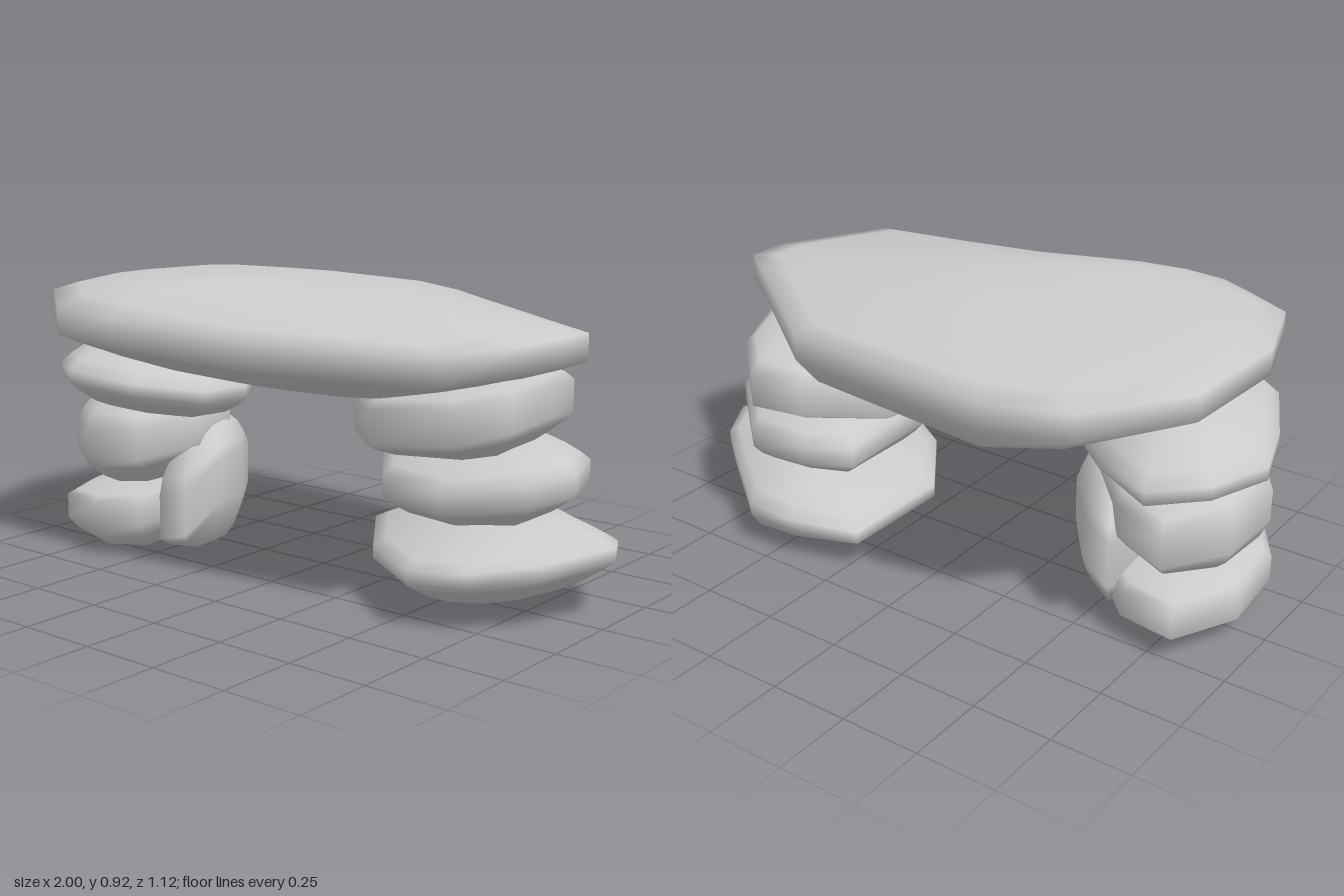
import * as THREE from 'three';

const material = new THREE.MeshStandardMaterial({ color: 0xcccccc });
const RINGS = [0.3, 0.55, 0.75, 0.9, 1];

// A stone: plan outline of [x, z, rimHeight, topPower, bottomPower], domed towards tilted
// top and bottom planes [y, slopeX, slopeZ]. rim is half the height of the blunt edge;
// a higher power makes the face flatter and its edge steeper.
function stone(name, { plan, top, bottom, rim, power }) {
  const n = plan.length;
  const [cx, cz] = [0, 1].map(k => plan.reduce((sum, p) => sum + p[k], 0) / n);
  const pos = [cx, bottom[0], cz];
  const addRing = (s, plane, side) => {
    for (const [px, pz, edge, topPower = power, bottomPower = power] of plan) {
      const dx = (px - cx) * s, dz = (pz - cz) * s;
      const face = plane[0] + plane[1] * dx + plane[2] * dz;
      const rise = 1 - s ** (side > 0 ? topPower : bottomPower);
      pos.push(cx + dx, THREE.MathUtils.lerp(edge + side * rim, face, rise), cz + dz);
    }
  };
  RINGS.forEach(s => addRing(s, bottom, -1));
  [...RINGS].reverse().forEach(s => addRing(s, top, 1));
  pos.push(cx, top[0], cz);

  const rows = RINGS.length * 2, last = rows * n + 1, index = [];
  for (let i = 0; i < n; i++) {
    const j = (i + 1) % n;
    index.push(0, 1 + i, 1 + j);
    for (let r = 0; r < rows - 1; r++) {
      const a = 1 + r * n + i, b = 1 + r * n + j;
      index.push(a, a + n, b, b, a + n, b + n);
    }
    index.push(last, last - n + j, last - n + i);
  }
  const geometry = new THREE.BufferGeometry();
  geometry.setAttribute('position', new THREE.Float32BufferAttribute(pos, 3));
  geometry.setIndex(index);
  geometry.computeVertexNormals();
  const mesh = new THREE.Mesh(geometry, material);
  mesh.name = name;
  return mesh;
}

const STONES = {
  // Wide slab across both piers
  capstone: {
    plan: [[-0.37, -0.56, 0.76, 2.6, 6], [0.33, -0.49, 0.76, 2.4, 6], [0.78, -0.15, 0.77, 1.7, 2.6],
      [0.88, -0.08, 0.77, 1.6, 2.1], [0.88, 0.05, 0.77, 1.5, 2.1], [0.83, 0.2, 0.76, 1.5, 2.1],
      [0.74, 0.43, 0.75, 1.5, 2], [0.1, 0.53, 0.75, 2, 2], [-0.37, 0.56, 0.77, 3.8, 2],
      [-0.6, 0.55, 0.78, 5, 2], [-0.8, 0.39, 0.81, 4.5, 2], [-0.9, 0.1, 0.82, 3.6, 2.2],
      [-0.88, -0.28, 0.82, 2.8, 2.6], [-0.64, -0.5, 0.78, 2.5, 3.6]],
    top: [0.92, 0, 0], bottom: [0.57, 0, 0.04], rim: 0.04, power: 2.5,
  },
  // Left pier, three flat stones
  leftBaseStone: {
    plan: [[0.16, -0.06, 0.15, 2.2, 2.2], [0.2, -0.4, 0.12, 2.5, 3], [0.42, -0.46, 0.12, 3, 5],
      [0.58, -0.47, 0.13, 3, 6], [0.83, -0.28, 0.16, 2.5, 3], [0.93, -0.2, 0.18, 2.2, 2],
      [1, -0.06, 0.2, 2, 1.7], [0.9, 0.16, 0.18, 2, 1.8], [0.75, 0.3, 0.16, 1.5, 2],
      [0.58, 0.35, 0.15, 1.5, 2.2], [0.35, 0.2, 0.15, 1.7, 2.2]],
    top: [0.285, 0.02, 0.05], bottom: [0, 0, 0], rim: 0.02, power: 2.5,
  },
  leftMiddleStone: {
    plan: [[0.22, -0.02, 0.4], [0.24, -0.36, 0.37], [0.4, -0.42, 0.36], [0.6, -0.42, 0.36, 3, 4],
      [0.82, -0.22, 0.39], [0.89, -0.02, 0.39, 3, 2.2], [0.84, 0.14, 0.38], [0.6, 0.23, 0.34, 2.4],
      [0.38, 0.2, 0.35, 2.5]],
    top: [0.5, 0.01, 0.03], bottom: [0.225, 0.02, 0], rim: 0.03, power: 3,
  },
  leftTopStone: {
    plan: [[0.16, 0.05, 0.52], [0.18, -0.25, 0.53], [0.38, -0.43, 0.55, 4], [0.55, -0.46, 0.55, 5],
      [0.7, -0.32, 0.58, 4], [0.8, -0.05, 0.62], [0.81, 0.19, 0.61], [0.68, 0.29, 0.57], [0.4, 0.3, 0.54]],
    top: [0.69, 0.05, 0], bottom: [0.43, 0.05, 0], rim: 0.05, power: 3.2,
  },
  // Right pier, three stones with one wedged on the inner side
  rightBaseStone: {
    plan: [[-0.84, -0.28, 0.13], [-0.65, -0.24, 0.12], [-0.46, -0.06, 0.14], [-0.43, 0.2, 0.18],
      [-0.46, 0.36, 0.16, 3.5, 5], [-0.62, 0.41, 0.14, 3.5, 6], [-0.8, 0.36, 0.13, 3.5, 5], [-0.91, 0.2, 0.11],
      [-0.93, -0.05, 0.11]],
    top: [0.22, 0.06, 0], bottom: [0.005, 0, 0], rim: 0.04, power: 3.5,
  },
  rightInnerStone: {
    plan: [[-0.61, -0.25, 0.23], [-0.46, -0.15, 0.24], [-0.33, 0.02, 0.25], [-0.28, 0.17, 0.26],
      [-0.31, 0.31, 0.17, 3], [-0.43, 0.3, 0.14, 3], [-0.56, 0.15, 0.18], [-0.64, -0.05, 0.21]],
    top: [0.42, 0.05, -0.1], bottom: [0.015, 0.05, 0], rim: 0.07, power: 3.6,
  },
  rightMiddleStone: {
    plan: [[-0.8, -0.29, 0.36], [-0.6, -0.2, 0.36], [-0.42, -0.02, 0.39, 3.5, 2.5], [-0.35, 0.2, 0.42, 3.5, 2],
      [-0.46, 0.36, 0.38, 5, 2.7], [-0.65, 0.4, 0.37, 6], [-0.82, 0.29, 0.36, 6, 5], [-0.93, 0.12, 0.37, 6, 6],
      [-0.92, -0.1, 0.36, 5, 5]],
    top: [0.51, 0, 0], bottom: [0.2, 0.03, 0], rim: 0.05, power: 3.5,
  },
  rightTopStone: {
    plan: [[-0.8, -0.4, 0.58], [-0.58, -0.27, 0.57], [-0.32, -0.03, 0.55], [-0.2, 0.14, 0.55], [-0.22, 0.3, 0.55],
      [-0.4, 0.43, 0.57], [-0.62, 0.49, 0.6], [-0.82, 0.35, 0.59], [-0.93, 0.13, 0.58, 2.2], [-1, -0.08, 0.58, 2.2],
      [-0.93, -0.27, 0.58, 2.5]],
    top: [0.72, 0, 0], bottom: [0.45, -0.08, 0], rim: 0.02, power: 2.8,
  },
};

export function createModel() {
  const group = new THREE.Group();
  group.name = 'stoneArch';
  for (const [name, spec] of Object.entries(STONES)) group.add(stone(name, spec));
  return group;
}
